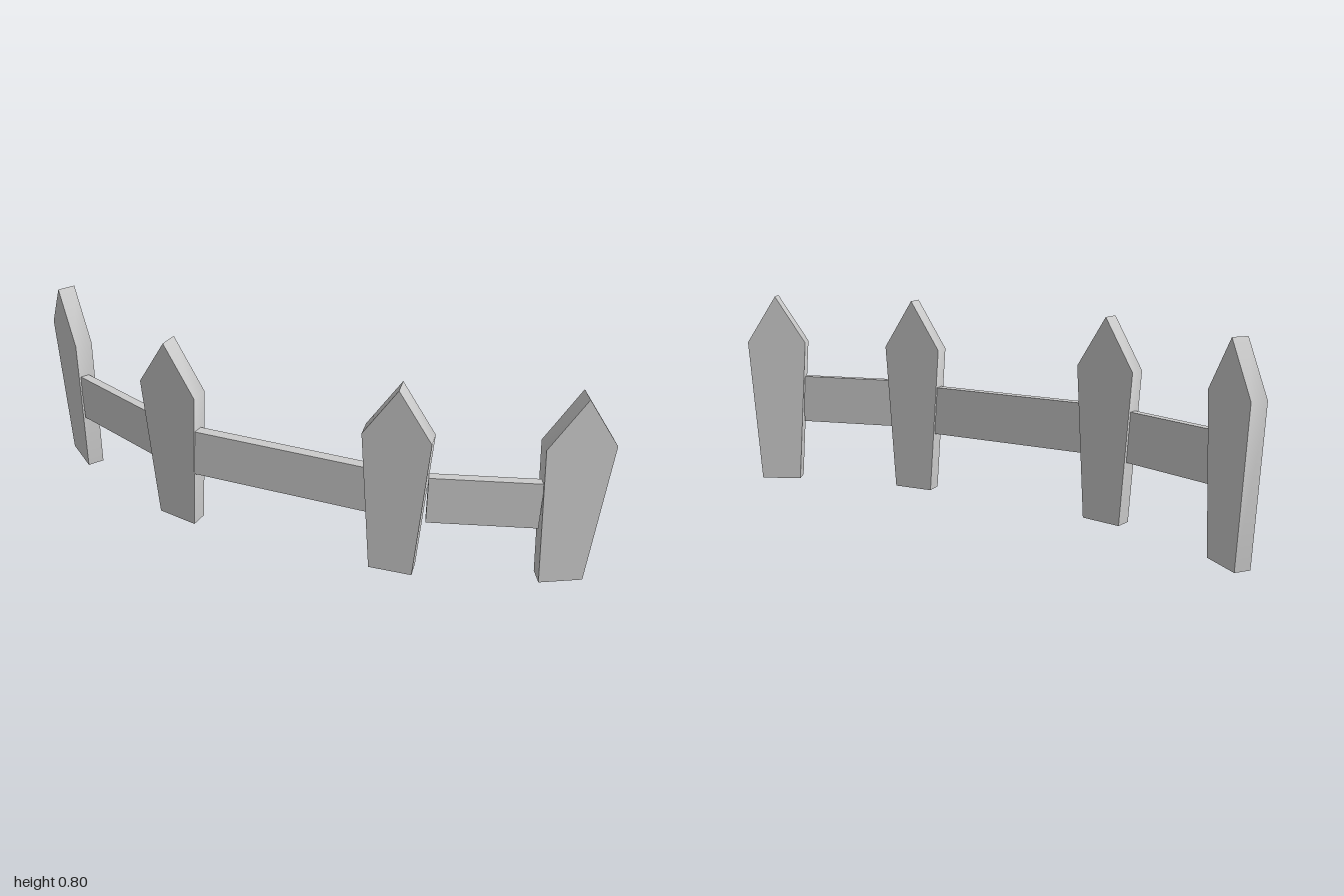
import * as THREE from 'three';
import { toCreasedNormals } from 'three/addons/utils/BufferGeometryUtils.js';

const material = new THREE.MeshStandardMaterial({ color: 0xcccccc, side: THREE.DoubleSide });

// Tapered, pointed picket, left open underneath
function picketGeometry(depth) {
  const outline = new THREE.Shape([
    [-0.082, 0], [0.082, 0], [0.123, 0.595], [0, 0.79], [-0.123, 0.595],
  ].map(([x, y]) => new THREE.Vector2(x, y)));
  const solid = new THREE.ExtrudeGeometry(outline, { depth, bevelEnabled: false });
  solid.translate(0, 0, -depth / 2);
  const pos = solid.attributes.position;
  const kept = [];
  for (let i = 0; i < pos.count; i += 3) {
    const isBase = [0, 1, 2].every((k) => pos.getY(i + k) < 1e-5);
    if (isBase) continue;
    for (let k = 0; k < 3; k++) kept.push(pos.getX(i + k), pos.getY(i + k), pos.getZ(i + k));
  }
  const geometry = new THREE.BufferGeometry();
  geometry.setAttribute('position', new THREE.Float32BufferAttribute(kept, 3));
  return toCreasedNormals(geometry, 0.8);
}

// Horizontal board between two points on the ground plan
function makeRail([x1, z1], [x2, z2], y, thickness) {
  const length = Math.hypot(x2 - x1, z2 - z1);
  const rail = new THREE.Mesh(new THREE.BoxGeometry(length, 0.196, thickness), material);
  rail.position.set((x1 + x2) / 2, y, (z1 + z2) / 2);
  rail.rotation.y = -Math.atan2(z2 - z1, x2 - x1);
  return rail;
}

export function createModel() {
  const fence = new THREE.Group();
  fence.name = 'curvedFence';

  // Pickets along the curve: x, base height, z, turn in degrees
  const geometry = picketGeometry(0.065);
  [
    [-0.875, 0.003, 0.522, -7.5],
    [-0.277, 0.008, 0.434, 20.5],
    [0.478, 0.015, -0.002, 35.3],
    [0.9, 0.017, -0.445, 57],
  ].forEach(([x, y, z, turn], i) => {
    const picket = new THREE.Mesh(geometry, material);
    picket.name = `picket${i + 1}`;
    picket.position.set(x, y, z);
    picket.rotation.y = THREE.MathUtils.degToRad(turn);
    fence.add(picket);
  });

  // Rails joining neighbouring pickets: start, end, centre height, thickness
  [
    [[-0.775, 0.547], [-0.37, 0.466], 0.355, 0.032],
    [[-0.185, 0.414], [0.395, 0.052], 0.356, 0.036],
    [[0.578, -0.061], [0.85, -0.35], 0.365, 0.03],
  ].forEach(([start, end, y, thickness], i) => {
    const rail = makeRail(start, end, y, thickness);
    rail.name = `rail${i + 1}`;
    fence.add(rail);
  });

  return fence;
}
